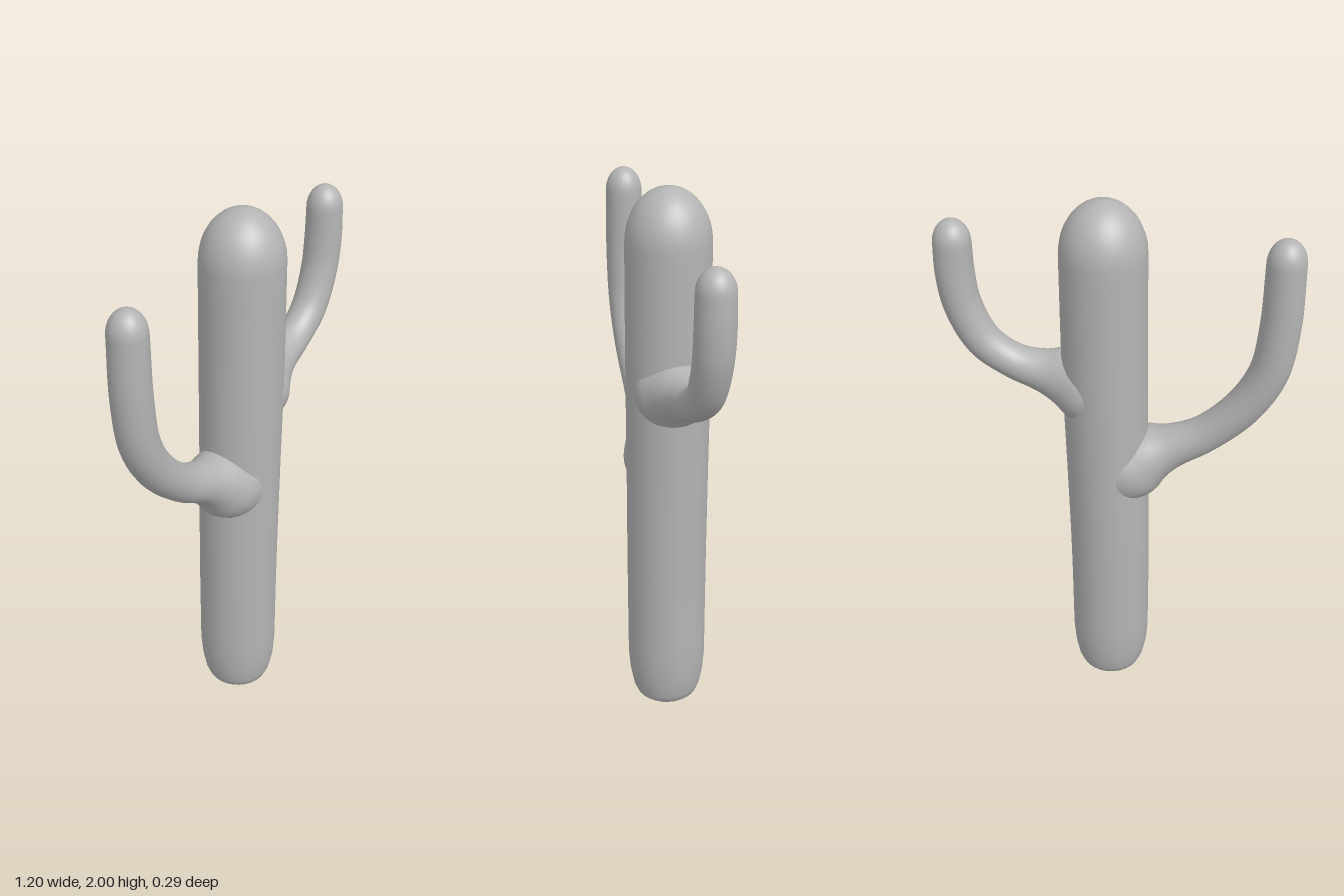
import * as THREE from 'three';

const SIDES = 28;

// Sweeps round cross-sections along a path in the x-y plane.
// Path points are [x, y, radius]; the end closes with a rounded tip, the start with optional extra rings.
function limbGeometry(points, samples, tipLength, startRings = []) {
  const curve = new THREE.CatmullRomCurve3(points.map(p => new THREE.Vector3(...p)));
  const rings = [...startRings.map(p => new THREE.Vector3(...p)), ...curve.getSpacedPoints(samples)];

  // Rounded tip continuing the last direction
  const end = rings[rings.length - 1];
  const before = rings[rings.length - 2];
  const dir = new THREE.Vector2(end.x - before.x, end.y - before.y).normalize();
  for (let k = 1; k <= 9; k++) {
    const a = (k / 9) * Math.PI / 2;
    const s = Math.sin(a) * tipLength;
    rings.push(new THREE.Vector3(end.x + dir.x * s, end.y + dir.y * s, end.z * Math.cos(a)));
  }

  const positions = [], index = [];
  rings.forEach((c, i) => {
    const p = rings[Math.max(i - 1, 0)], q = rings[Math.min(i + 1, rings.length - 1)];
    const t = new THREE.Vector2(q.x - p.x, q.y - p.y).normalize();
    for (let j = 0; j < SIDES; j++) {
      const a = (j / SIDES) * Math.PI * 2;
      const u = c.z * Math.cos(a);
      positions.push(c.x + t.y * u, c.y - t.x * u, c.z * Math.sin(a));
      if (i < rings.length - 1) {
        const k = (j + 1) % SIDES, r0 = i * SIDES, r1 = r0 + SIDES;
        index.push(r0 + j, r1 + j, r0 + k, r1 + j, r1 + k, r0 + k);
      }
    }
  });
  const g = new THREE.BufferGeometry();
  g.setAttribute('position', new THREE.Float32BufferAttribute(positions, 3));
  g.setIndex(index);
  g.computeVertexNormals();
  return g;
}

export function createModel() {
  const group = new THREE.Group();
  group.name = 'cactus';
  const grey = new THREE.MeshStandardMaterial({ color: 0xb4b4b4 });
  grey.name = 'plain grey';

  const add = (name, geometry) => {
    const mesh = new THREE.Mesh(geometry, grey);
    mesh.name = name;
    group.add(mesh);
  };

  // Trunk: slight lean to the left, softly rounded foot and domed top
  add('trunk', limbGeometry(
    [[0.02, 0.2, 0.144], [0.022, 0.6, 0.144], [0.03, 1.0, 0.144], [0.038, 1.4, 0.145], [0.041, 1.82, 0.143]],
    24, 0.18,
    [[0.02, 0, 0], [0.02, 0.004, 0.06], [0.02, 0.013, 0.095], [0.02, 0.03, 0.115], [0.02, 0.06, 0.127], [0.02, 0.12, 0.138]]
  ));

  // Right arm: low and long, flared where it joins the trunk
  add('rightArm', limbGeometry(
    [[0.02, 0.97, 0.13], [-0.06, 1.01, 0.135], [-0.12, 1.05, 0.11], [-0.19, 1.085, 0.08], [-0.305, 1.15, 0.066],
      [-0.43, 1.275, 0.066], [-0.507, 1.42, 0.067], [-0.533, 1.6, 0.067], [-0.535, 1.83, 0.064]],
    44, 0.083
  ));

  // Left arm: higher and shorter
  add('leftArm', limbGeometry(
    [[0.05, 1.31, 0.13], [0.12, 1.33, 0.135], [0.18, 1.345, 0.105], [0.25, 1.358, 0.075], [0.35, 1.387, 0.061],
      [0.45, 1.46, 0.062], [0.512, 1.59, 0.064], [0.53, 1.71, 0.065], [0.531, 1.82, 0.063]],
    40, 0.08
  ));

  return group;
}
